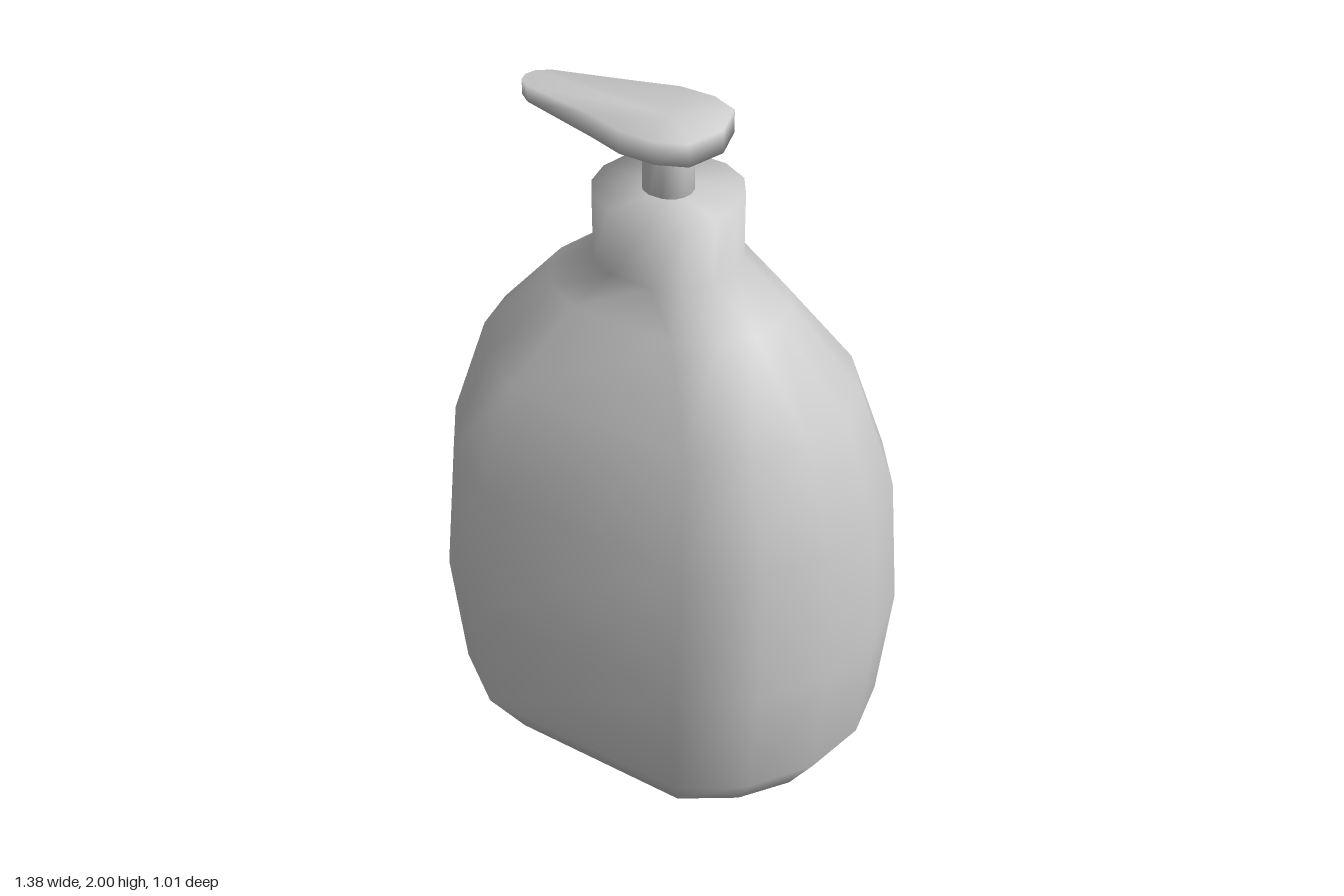
import * as THREE from 'three';

const material = new THREE.MeshStandardMaterial({ color: 0xcccccc });

// Smooth closed loft through rings of [x, y, z] points, capped at both ends
function loft(name, rings) {
  const n = rings[0].length, last = (rings.length - 1) * n;
  const points = rings.flat(), index = [];
  const capY = ring => ring.reduce((sum, p) => sum + p[1], 0) / n;
  const bottom = points.push([0, capY(rings[0]), 0]) - 1;
  const top = points.push([0, capY(rings.at(-1)), 0]) - 1;
  for (let j = 0; j < n; j++) {
    const k = (j + 1) % n;
    for (let r = 0; r < last; r += n) {
      index.push(r + j, r + n + j, r + k, r + k, r + n + j, r + n + k);
    }
    index.push(bottom, j, k, top, last + k, last + j);
  }
  const geometry = new THREE.BufferGeometry();
  geometry.setAttribute('position', new THREE.Float32BufferAttribute(points.flat(), 3));
  geometry.setIndex(index);
  geometry.computeVertexNormals();
  const mesh = new THREE.Mesh(geometry, material);
  mesh.name = name;
  return mesh;
}

// Full outline from its +z half, running from the +x end to the -x end
const mirrorZ = half => [...half, ...half.slice(1, -1).reverse().map(([x, z]) => [x, -z])];

// Fourteen-sided section: round = 0 is the wide body, round = 1 the neck
function section(y, hx, hz, round) {
  const mix = (a, b) => a + (b - a) * round;
  const q = [[1, 0], [mix(0.942, 0.92), mix(0.396, 0.42)],
    [mix(0.768, 0.7), mix(0.743, 0.78)], [mix(0.5, 0.3), 1]];
  const half = [...q, ...q.slice().reverse().map(([x, z]) => [-x, z])];
  return mirrorZ(half).map(([x, z]) => [x * hx, y, z * hz]);
}

export function createModel() {
  const group = new THREE.Group();
  group.name = 'pumpBottle';

  // Bottle with shoulders and neck: [y, half width, half depth, roundness]
  group.add(loft('bottle', [
    [0, 0.555, 0.385, 0], [0.16, 0.655, 0.48, 0], [0.54, 0.69, 0.505, 0],
    [0.95, 0.66, 0.456, 0], [1.26, 0.555, 0.36, 0], [1.49, 0.35, 0.225, 0.3],
    [1.6, 0.203, 0.185, 1], [1.79, 0.203, 0.185, 1],
  ].map(s => section(...s))));

  // Pump stem
  group.add(loft('pumpStem', [section(1.78, 0.07, 0.062, 1), section(1.945, 0.07, 0.062, 1)]));

  // Pump head: round press plate tapering into the spout
  const outline = mirrorZ([[0.163, 0], [0.13, 0.108], [0.05, 0.143], [-0.055, 0.143],
    [-0.165, 0.108], [-0.4, 0.055], [-0.435, 0.03], [-0.445, 0]]);
  const taper = x => Math.max(0, (-0.165 - x) / 0.28);
  const head = loft('pumpHead', [
    outline.map(([x, z]) => [x, 1.936 + 0.012 * taper(x), z]),
    outline.map(([x, z]) => [x, 2 - 0.01 * taper(x), z]),
  ]);
  group.add(head);
  return group;
}
